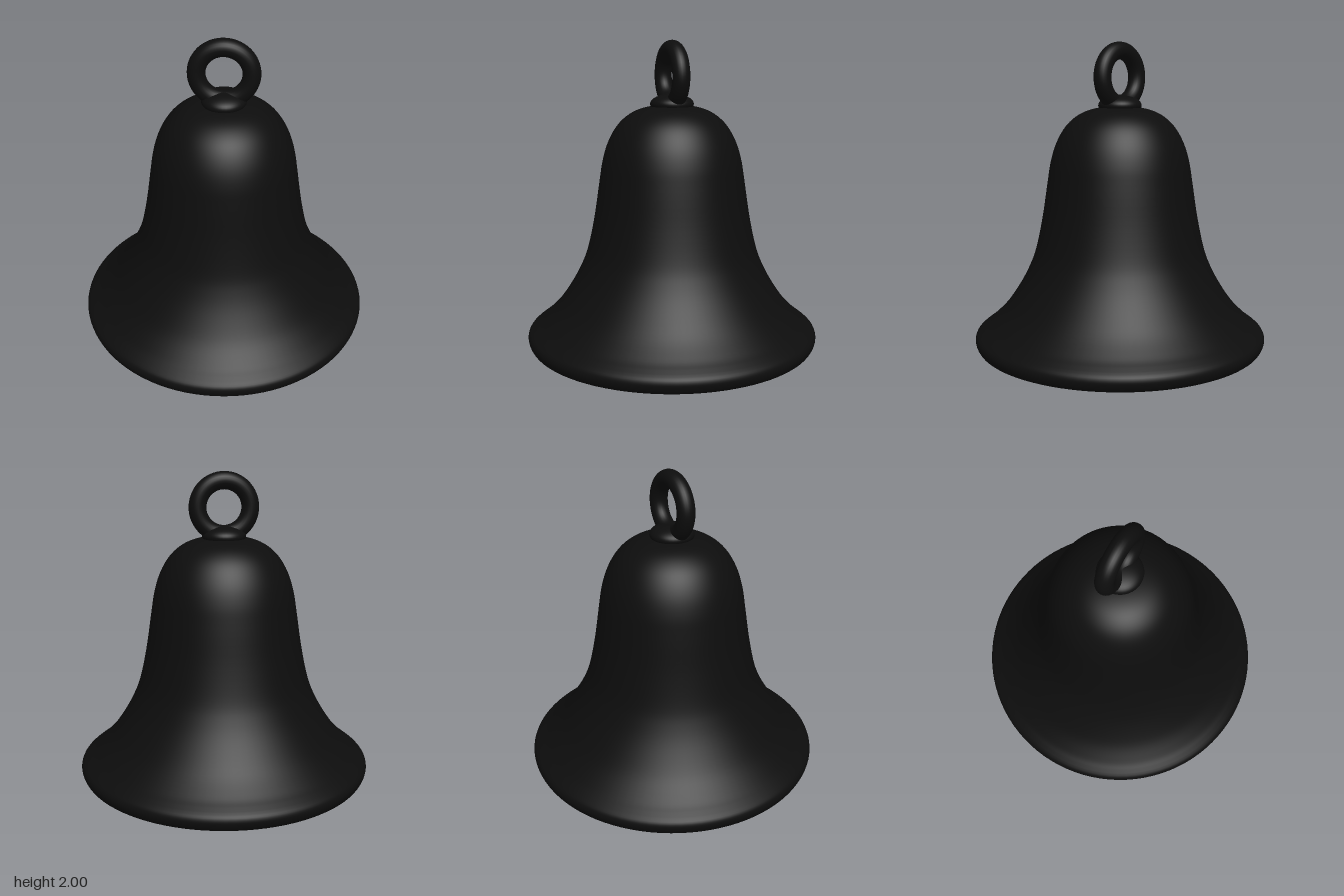
import * as THREE from 'three';

export function createModel() {
  const group = new THREE.Group();
  const blackIron = new THREE.MeshStandardMaterial({ color: 0x0d0d0d });
  blackIron.name = 'blackIron';

  const add = (name, geometry, y) => {
    const mesh = new THREE.Mesh(geometry, blackIron);
    mesh.name = name;
    mesh.position.y = y;
    group.add(mesh);
    return mesh;
  };
  const smooth = (points, n) =>
    new THREE.SplineCurve(points.map(([x, y]) => new THREE.Vector2(x, y))).getPoints(n);

  // Hollow bell wall: down the inside, around the lip, up the outside
  const inner = smooth([
    [0, 1.57], [0.1, 1.565], [0.19, 1.535], [0.27, 1.46], [0.32, 1.36], [0.36, 1.2],
    [0.395, 1], [0.435, 0.8], [0.53, 0.6], [0.68, 0.4], [0.735, 0.32], [0.745, 0.27],
  ], 48);
  const lip = smooth([
    [0.75, 0.25], [0.77, 0.232], [0.8, 0.23], [0.835, 0.246], [0.852, 0.285],
    [0.845, 0.318], [0.82, 0.342],
  ], 24);
  const outer = smooth([
    [0.8, 0.357], [0.755, 0.393], [0.67, 0.48], [0.588, 0.6], [0.53, 0.71], [0.49, 0.82],
    [0.451, 1], [0.42, 1.2], [0.4, 1.32], [0.37, 1.42], [0.325, 1.505], [0.27, 1.565],
    [0.2, 1.607], [0.11, 1.63], [0, 1.635],
  ], 64);
  inner[0].x = outer[outer.length - 1].x = 0;
  add('bellBody', new THREE.LatheGeometry([...inner, ...lip, ...outer], 96), 0);

  // Flattened boss under the hanging ring
  add('crownBoss', new THREE.SphereGeometry(0.125, 40, 24), 1.642).scale.y = 0.46;

  // Hanging ring, facing front
  add('hangingRing', new THREE.TorusGeometry(0.149, 0.05, 24, 64), 1.801);

  // Clapper: rod and ball
  add('clapperRod', new THREE.CylinderGeometry(0.033, 0.033, 1.4, 24), 0.9);
  add('clapperBall', new THREE.SphereGeometry(0.172, 48, 32), 0.172);

  return group;
}
